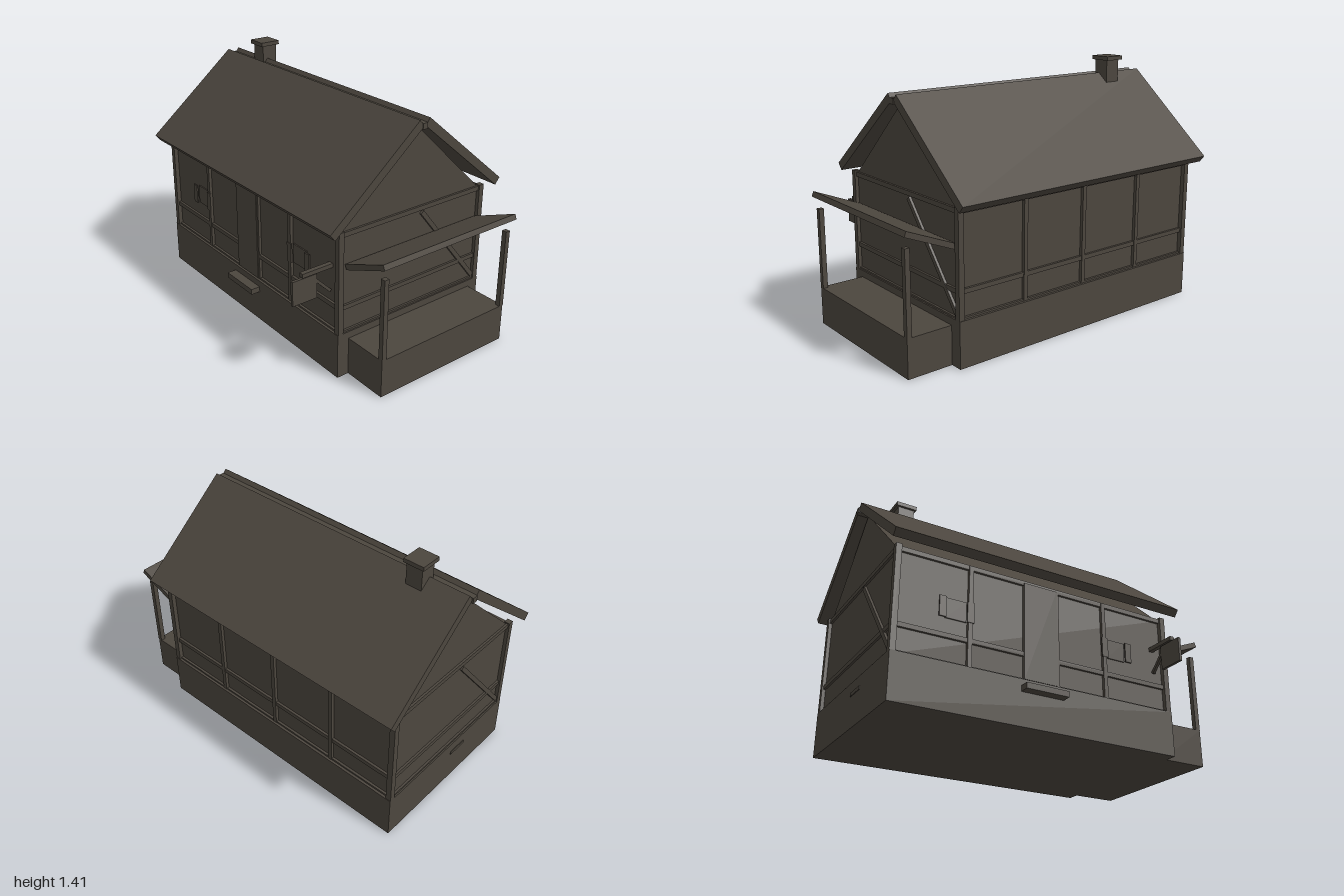
import * as THREE from 'three';

export function createModel() {
  const model = new THREE.Group();
  model.name = 'timberHouse';
  const wood = new THREE.MeshStandardMaterial({ color: 0x4c463e });
  wood.name = 'dark weathered brown';

  const add = (name, geometry) => {
    const mesh = new THREE.Mesh(geometry, wood);
    mesh.name = name;
    model.add(mesh);
    return mesh;
  };
  // Box between two corners
  const box = (name, x0, x1, y0, y1, z0, z1) => {
    const m = add(name, new THREE.BoxGeometry(x1 - x0, y1 - y0, z1 - z0));
    m.position.set((x0 + x1) / 2, (y0 + y1) / 2, (z0 + z1) / 2);
    return m;
  };
  // Plank running between two points (z, y), spanning x0..x1
  const plank = (name, x0, x1, [za, ya], [zb, yb], thick) => {
    const m = add(name, new THREE.BoxGeometry(x1 - x0, thick, Math.hypot(zb - za, yb - ya)));
    m.position.set((x0 + x1) / 2, (ya + yb) / 2, (za + zb) / 2);
    m.rotation.x = -Math.atan2(yb - ya, zb - za);
    return m;
  };

  const L = -0.94, R = 0.723, F = 0.437, B = -0.567, MID = -0.065;

  // Foundation
  box('foundation', L, R, 0.005, 0.257, B - 0.003, F + 0.003);
  box('foundationVent', L - 0.004, L + 0.01, 0.18, 0.2, -0.04, 0.08);

  // Walls and gables as one prism
  const profile = new THREE.Shape();
  [[0.412, 0.25], [0.412, 0.82], [0.4, 0.825], [MID, 1.268], [-0.53, 0.825], [-0.542, 0.82], [-0.542, 0.25]]
    .forEach(([z, y], i) => (i ? profile.lineTo(-z, y) : profile.moveTo(-z, y)));
  const walls = new THREE.ExtrudeGeometry(profile, { depth: R - L - 0.04, bevelEnabled: false });
  walls.rotateY(Math.PI / 2);
  walls.translate(L + 0.02, 0, 0);
  add('walls', walls);

  // Corner posts
  for (const x of [L, R - 0.032]) {
    for (const z of [F - 0.032, B]) box('cornerPost', x, x + 0.032, 0.257, 0.83, z, z + 0.032);
  }

  // Intermediate posts on the long walls
  for (const x of [-0.52, 0.296]) box('frontStud', x - 0.012, x + 0.012, 0.26, 0.82, 0.4, 0.43);
  for (const x of [-0.52, -0.11, 0.296]) box('backStud', x - 0.012, x + 0.012, 0.26, 0.82, B + 0.007, -0.53);

  // Horizontal rails around the house
  for (const [y0, y1] of [[0.255, 0.267], [0.39, 0.415], [0.797, 0.823]]) {
    box('frontRail', L + 0.02, R - 0.02, y0, y1, 0.4, 0.426);
    box('backRail', L + 0.02, R - 0.02, y0, y1, B + 0.011, -0.53);
    box('leftRail', L + 0.008, L + 0.04, y0, y1, B + 0.02, F - 0.02);
    box('rightRail', R - 0.04, R - 0.008, y0, y1, B + 0.02, F - 0.02);
  }

  // Diagonal braces on the end walls
  plank('rightBrace', R - 0.03, R - 0.006, [-0.12, 0.785], [-0.54, 0.27], 0.025);
  plank('leftBrace', L + 0.006, L + 0.03, [-0.01, 0.785], [0.41, 0.27], 0.025);

  // Door and step
  box('door', -0.21, -0.01, 0.262, 0.808, 0.4, 0.432);
  box('doorPost', -0.01, 0.004, 0.26, 0.808, 0.4, 0.428);
  box('doorStep', -0.235, 0.015, 0.188, 0.22, F - 0.01, 0.495);

  // Windows with a shutter on each side
  for (const x of [-0.597, 0.375]) {
    box('windowPane', x - 0.058, x + 0.058, 0.5, 0.61, 0.41, 0.419);
    for (const s of [-1, 1]) {
      const c = x + s * 0.077;
      box('shutter', c - 0.019, c + 0.019, 0.498, 0.61, 0.425, 0.433);
    }
  }

  // Hanging sign on its bracket
  box('signArm', 0.617, 0.643, 0.607, 0.63, 0.41, 0.598);
  plank('signBrace', 0.622, 0.638, [0.42, 0.475], [0.53, 0.585], 0.016);
  box('signBoard', 0.622, 0.638, 0.466, 0.602, 0.506, 0.655);

  // Roof slopes, mirrored about the ridge
  for (const s of [1, -1]) {
    plank(s > 0 ? 'frontRoof' : 'backRoof', s > 0 ? -0.98 : -0.976, s > 0 ? 0.76 : 0.757,
      [MID + s * 0.02, 1.298], [MID + s * 0.571, 0.842], 0.047);
  }
  plank('ridgeBeam', -0.985, 0.762, [MID - 0.016, 1.28], [MID + 0.016, 1.28], 0.032);

  // Chimney
  box('chimney', -0.745, -0.65, 1.08, 1.4, -0.163, -0.07);
  box('chimneyCap', -0.76, -0.64, 1.392, 1.415, -0.178, -0.055);

  // Side porch: deck, posts and canopy
  box('porchDeck', 0.7, 0.982, 0.005, 0.218, -0.5, 0.37);
  for (const z of [0.342, -0.502]) box('porchPost', 0.955, 0.983, 0.215, 0.668, z, z + 0.028);
  const canopy = box('porchCanopy', 0.7, 1.002, 0.674, 0.704, -0.527, 0.388);
  canopy.rotation.z = Math.atan2(0.112, 0.27);
  canopy.position.x = 0.854;

  return model;
}
